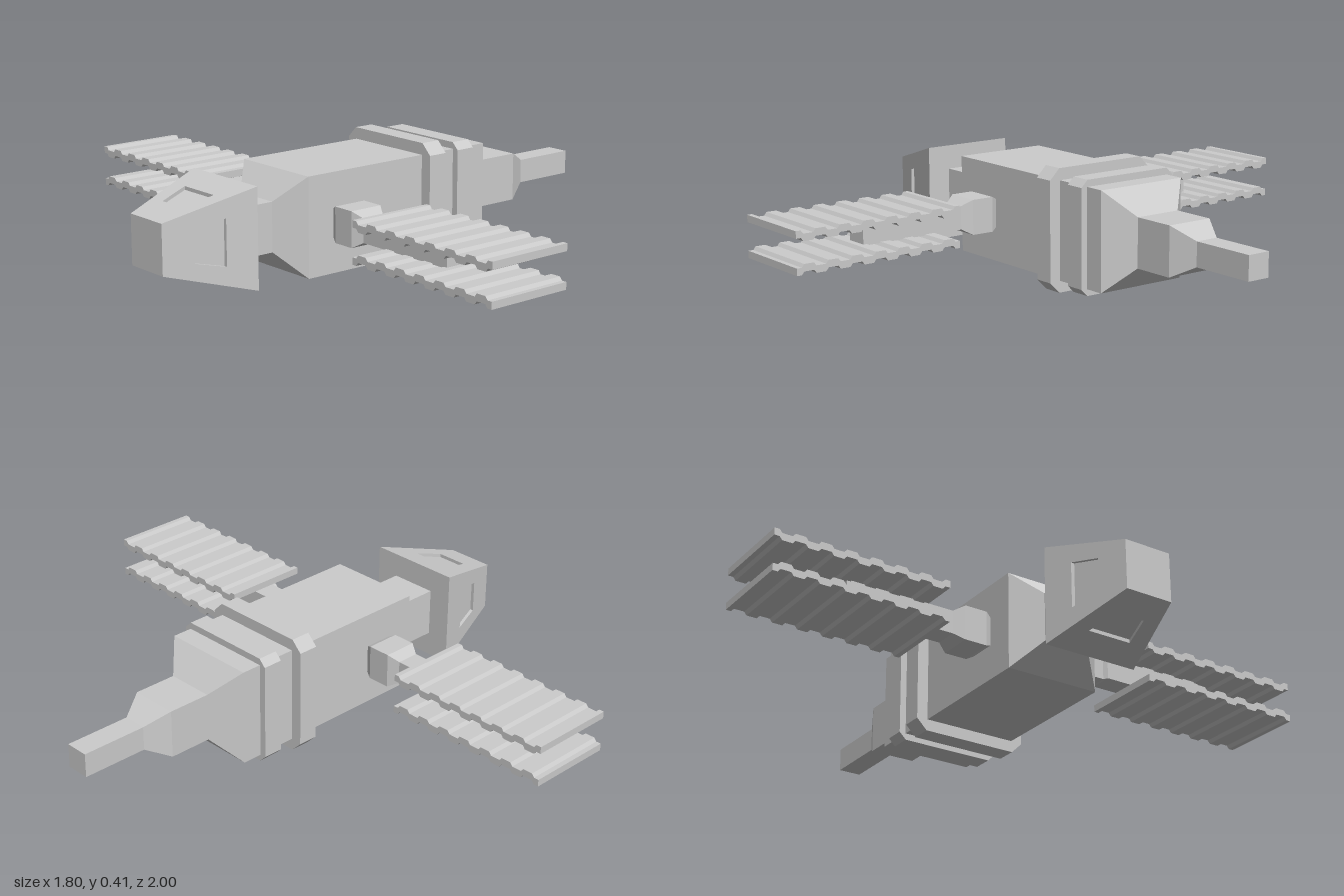
import * as THREE from 'three';

const CY = 0.207; // height of the long axis
const material = new THREE.MeshStandardMaterial({ color: 0xcccccc, flatShading: true });

// Collects flat, counter-clockwise quads and fans into a faceted geometry
function facets(faces) {
  const pos = [];
  for (const f of faces) {
    for (let i = 1; i < f.length - 1; i++) pos.push(...f[0], ...f[i], ...f[i + 1]);
  }
  const g = new THREE.BufferGeometry();
  g.setAttribute('position', new THREE.Float32BufferAttribute(pos, 3));
  g.computeVertexNormals();
  return g;
}

// Square ring of half-size h at x, with optional cut corners
function section(x, h, cut = 0) {
  const k = h - cut;
  const corners = cut
    ? [[h, -k], [h, k], [k, h], [-k, h], [-h, k], [-h, -k], [-k, -h], [k, -h]]
    : [[h, -h], [h, h], [-h, h], [-h, -h]];
  return corners.map(([y, z]) => [x, y, z]);
}

// Skins a run of sections along +x and closes both ends
function loft(sections) {
  const faces = [[...sections[0]].reverse(), sections[sections.length - 1]];
  for (let i = 0; i < sections.length - 1; i++) {
    const p = sections[i], q = sections[i + 1], n = p.length;
    for (let j = 0; j < n; j++) {
      const k = (j + 1) % n;
      faces.push([p[j], p[k], q[k], q[j]]);
    }
  }
  return facets(faces);
}

// Tapered head with a shallow trapezoid pocket in each of its four sides
function headGeometry() {
  const x0 = -0.9, x1 = -0.6, h0 = 0.083, h1 = 0.167, depth = 0.012;
  const height = (x) => h0 + ((x - x0) / (x1 - x0)) * (h1 - h0);
  const ring = (xa, wa, xb, wb, drop) => [
    [xa, height(xa) - drop, -wa], [xa, height(xa) - drop, wa],
    [xb, height(xb) - drop, wb], [xb, height(xb) - drop, -wb],
  ];
  const rings = [
    ring(x0, h0, x1, h1, 0),
    ring(-0.8, 0.055, -0.7, 0.077, 0),
    ring(-0.8, 0.055, -0.7, 0.077, depth),
  ];
  const side = [rings[2]];
  for (let r = 0; r < 2; r++) {
    for (let j = 0; j < 4; j++) {
      const k = (j + 1) % 4;
      side.push([rings[r][j], rings[r][k], rings[r + 1][k], rings[r + 1][j]]);
    }
  }
  const faces = [section(x0, h0).reverse(), section(x1, h1)];
  let turned = side;
  for (let s = 0; s < 4; s++) {
    faces.push(...turned);
    turned = turned.map((f) => f.map(([x, y, z]) => [x, -z, y])); // quarter turn
  }
  return facets(faces);
}

// Corrugated plate: a stepped wave profile extruded across its width
function panelGeometry() {
  const z0 = 0.388, z1 = 1, waves = 7, thick = 0.024, rise = 0.011, width = 0.305;
  const pitch = (z1 - z0) / waves;
  const upper = [];
  for (let i = 0; i < waves; i++) {
    const z = z0 + i * pitch;
    upper.push([z, rise], [z + pitch * 0.2, rise], [z + pitch * 0.3, 0],
      [z + pitch * 0.7, 0], [z + pitch * 0.8, rise]);
  }
  upper.push([z1, rise]);
  const lower = upper.map(([z, y]) => [z, y - thick]).reverse();
  const shape = new THREE.Shape([...upper, ...lower].map(([z, y]) => new THREE.Vector2(z, y)));
  const g = new THREE.ExtrudeGeometry(shape, { depth: width, bevelEnabled: false });
  g.rotateY(-Math.PI / 2); // profile now runs along z, width along -x
  g.translate(-0.1, 0, 0);
  return g;
}

export function createModel() {
  const model = new THREE.Group();
  const add = (name, geometry, parent = model) => {
    const mesh = new THREE.Mesh(geometry, material);
    mesh.name = name;
    parent.add(mesh);
    return mesh;
  };

  const core = new THREE.Group();
  core.name = 'core';
  core.position.y = CY;
  model.add(core);

  add('head', headGeometry(), core);

  // Neck, main body and stepped tail boom
  const profile = [
    [-0.6, 0.083], [-0.48, 0.083], [-0.4, 0.167], [0.36, 0.167], [0.44, 0.083],
    [0.59, 0.083], [0.67, 0.041], [0.9, 0.041],
  ];
  add('body', loft(profile.map(([x, h]) => section(x, h))), core);

  // Raised collars with cut corners
  for (const [x, h, cut] of [[0.08, 0.207, 0.037], [0.22, 0.19, 0.024]]) {
    add('collar', loft([section(x, h, cut), section(x + 0.07, h, cut)]), core);
  }

  // Side arms, each carrying a pair of corrugated panels
  const armProfile = [[0.16, 0.045], [0.19, 0.06], [0.27, 0.06], [0.305, 0.04], [0.69, 0.04]];
  const armGeometry = loft(armProfile.map(([x, h]) => section(x, h)));
  const panel = panelGeometry();
  const flipped = panel.clone().rotateZ(Math.PI).translate(-0.505, 0, 0);
  for (const side of [1, -1]) {
    const wing = new THREE.Group();
    wing.name = side > 0 ? 'frontWing' : 'backWing';
    core.add(wing);
    const arm = add('arm', armGeometry, wing);
    arm.position.x = -0.25;
    arm.rotation.y = -side * Math.PI / 2;
    const panels = new THREE.Group();
    panels.name = 'panels';
    if (side < 0) {
      panels.rotation.y = Math.PI;
      panels.position.x = -0.505;
    }
    wing.add(panels);
    add('upperPanel', panel, panels).position.y = 0.06;
    add('lowerPanel', flipped, panels).position.y = -0.06;
  }
  return model;
}
